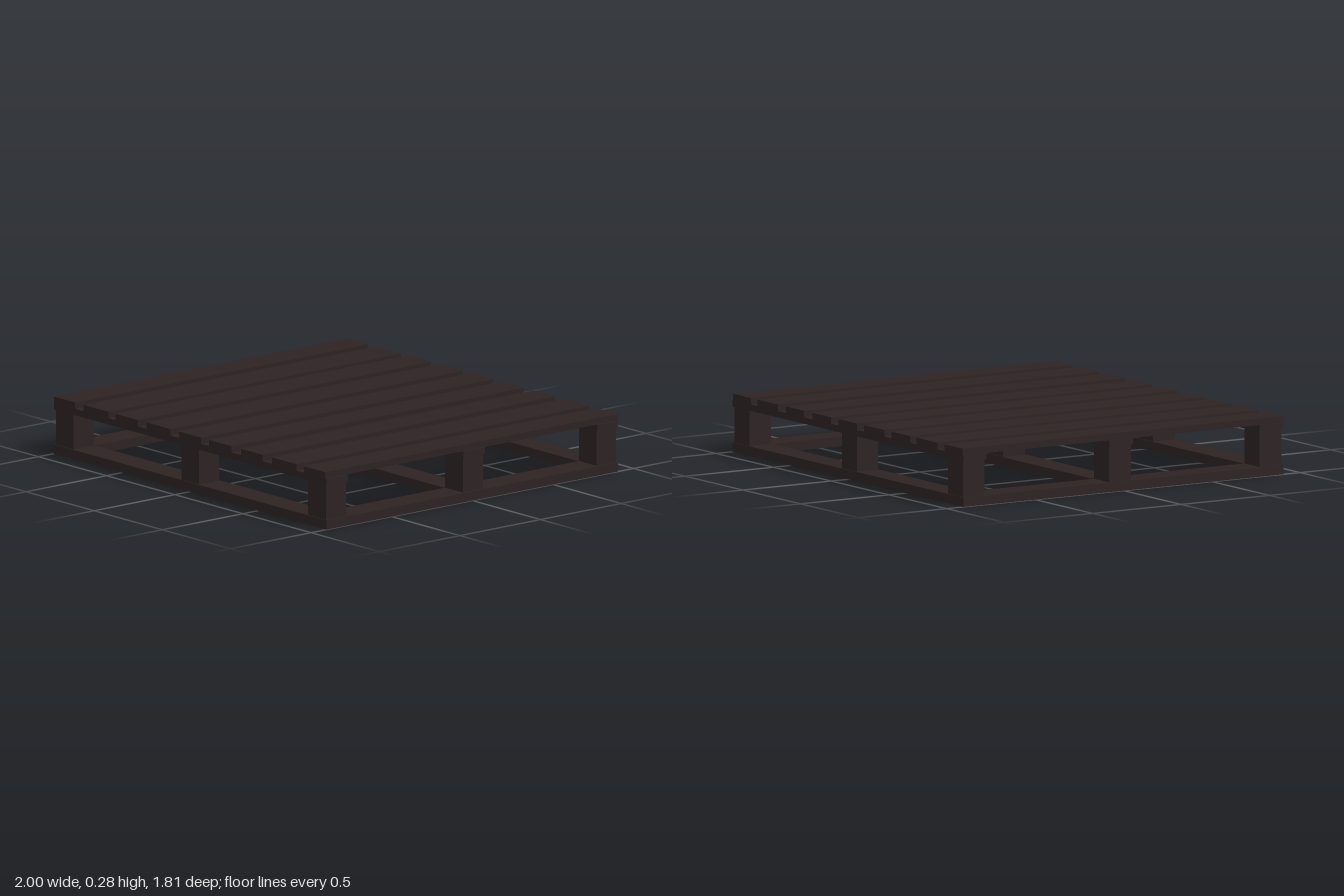
import * as THREE from 'three';

export function createModel() {
  const model = new THREE.Group();
  model.name = 'pallet';
  const wood = new THREE.MeshStandardMaterial({ color: 0x2d2323 });
  wood.name = 'dark wood';

  // box given by its extents on each axis
  function board(name, [x0, x1], [y0, y1], [z0, z1]) {
    const mesh = new THREE.Mesh(new THREE.BoxGeometry(x1 - x0, y1 - y0, z1 - z0), wood);
    mesh.position.set((x0 + x1) / 2, (y0 + y1) / 2, (z0 + z1) / 2);
    mesh.name = name;
    model.add(mesh);
  }

  const bottom = [0, 0.045], block = [0.045, 0.216], stringer = [0.216, 0.247], deck = [0.247, 0.279];
  const rows = [[-0.905, -0.775], [-0.08, 0.055], [0.77, 0.905]];
  const columns = [[-0.99, -0.86], [-0.07, 0.06], [0.86, 0.99]];

  // three rows: bottom runner, blocks and upper stringer
  for (const [z0, z1] of rows) {
    board('bottomRunner', [-1, 1], bottom, [z0, z1]);
    board('stringer', [-1, 1], stringer, [z0, z1]);
    for (const column of columns) board('block', column, block, [z0 + 0.005, z1 - 0.005]);
  }

  // bottom side boards, fitted between the runners
  for (const [x0, x1] of [[-1, -0.86], [0.86, 1]]) {
    board('bottomSideBoard', [x0, x1], bottom, [-0.775, -0.08]);
    board('bottomSideBoard', [x0, x1], bottom, [0.055, 0.77]);
  }

  // deck boards of slightly varying width
  const slats = [
    [-0.995, -0.84], [-0.778, -0.597], [-0.545, -0.378], [-0.319, -0.142], [-0.08, 0.081],
    [0.143, 0.305], [0.377, 0.532], [0.602, 0.782], [0.838, 0.993],
  ];
  for (const slat of slats) board('deckBoard', slat, deck, [-0.907, 0.907]);

  return model;
}
